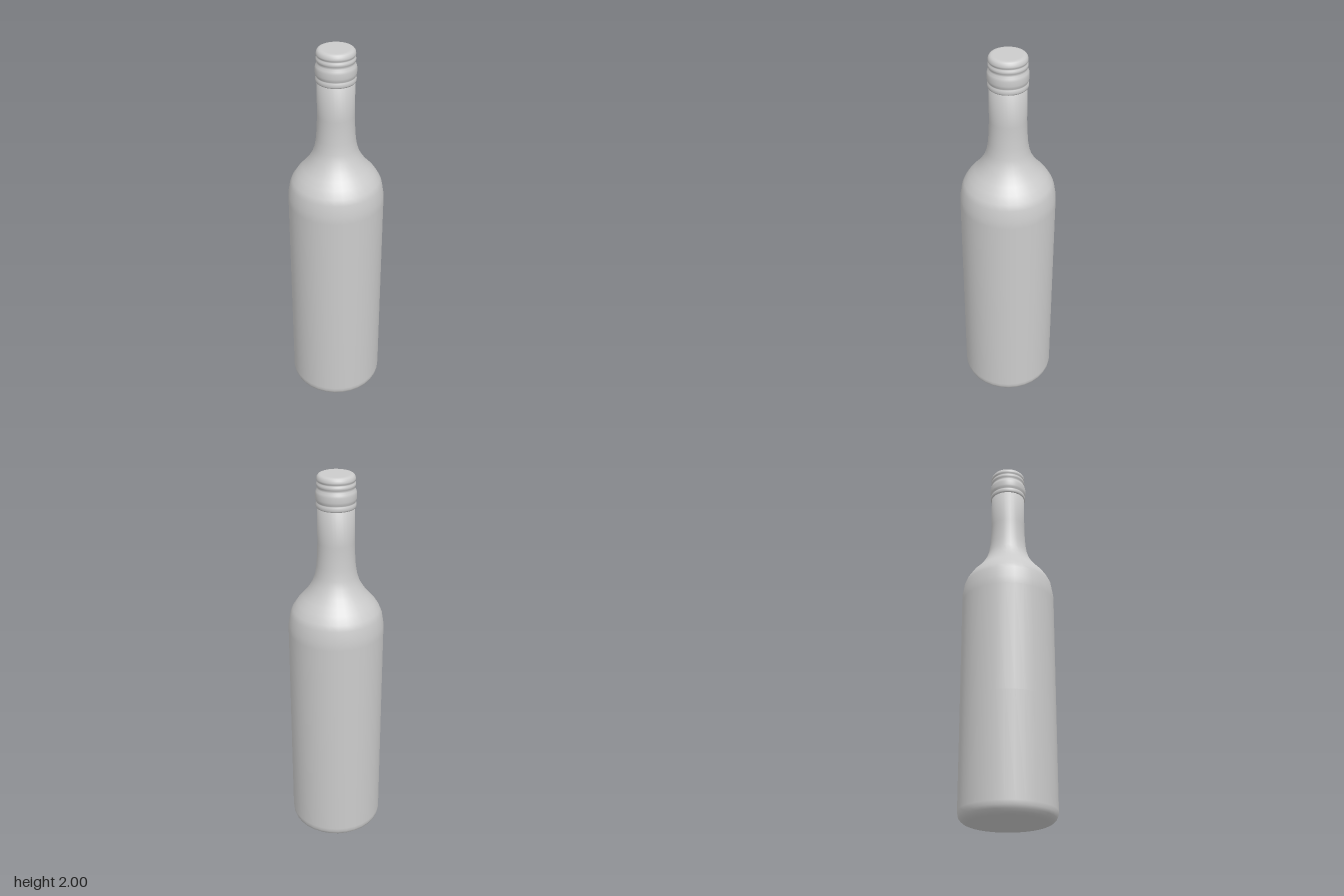
import * as THREE from 'three';

const material = new THREE.MeshStandardMaterial({ color: 0xcccccc });

// Revolve a [radius, height] profile, listed from bottom to top
function lathe(name, profile, sides) {
  const points = profile.map(([r, y]) => new THREE.Vector2(r, y));
  const mesh = new THREE.Mesh(new THREE.LatheGeometry(points, sides), material);
  mesh.name = name;
  return mesh;
}

export function createModel() {
  const model = new THREE.Group();
  model.name = 'bottle';

  // Glass: flat base, rounded heel, straight body, sloping shoulder, slim neck
  model.add(lathe('glassBody', [
    [0, 0], [0.19, 0], [0.205, 0.003], [0.222, 0.01], [0.236, 0.023], [0.243, 0.04], [0.245, 0.06],
    [0.245, 0.6], [0.245, 1.18], [0.244, 1.22], [0.234, 1.28], [0.222, 1.308], [0.198, 1.345],
    [0.169, 1.376], [0.144, 1.408], [0.119, 1.45], [0.106, 1.49], [0.098, 1.54],
    [0.094, 1.6], [0.092, 1.66], [0.092, 1.87], [0, 1.87],
  ], 32));

  // Screw cap: lower collar, main bulge, thread ring and rounded top
  model.add(lathe('screwCap', [
    [0.088, 1.836], [0.095, 1.838], [0.098, 1.845], [0.098, 1.857], [0.094, 1.863],
    [0.094, 1.867], [0.098, 1.874], [0.1, 1.885], [0.1, 1.908], [0.097, 1.92],
    [0.091, 1.93], [0.09, 1.938], [0.094, 1.943], [0.095, 1.95], [0.094, 1.957],
    [0.09, 1.962], [0.09, 1.967], [0.094, 1.972], [0.094, 1.978], [0.092, 1.988],
    [0.086, 1.996], [0.078, 1.9995], [0.068, 2], [0, 2],
  ], 64));

  return model;
}
